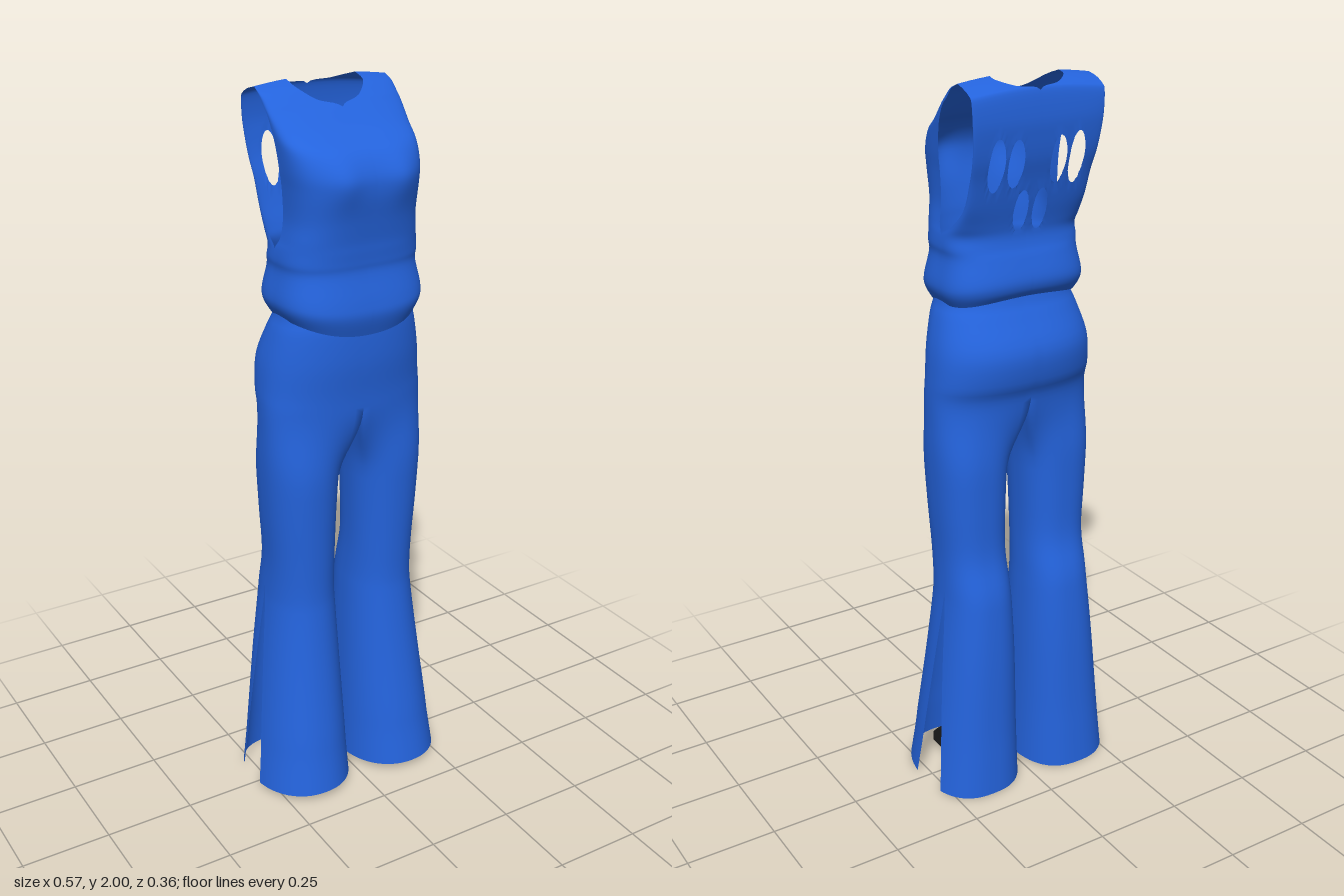
import * as THREE from 'three';
import { mergeVertices } from 'three/addons/utils/BufferGeometryUtils.js';

// Smooth interpolation through a list of equally long rows, t in 0..1
function sampleRows(rows, t) {
  const last = rows.length - 1;
  const i = Math.min(Math.floor(t * last), last - 1);
  const f = t * last - i;
  const at = (k) => rows[Math.max(0, Math.min(last, k))];
  return rows[i].map((_, c) => {
    const p0 = at(i - 1)[c], p1 = at(i)[c], p2 = at(i + 1)[c], p3 = at(i + 2)[c];
    return p1 + 0.5 * f * (p2 - p0 + f * (2 * p0 - 5 * p1 + 4 * p2 - p3 + f * (3 * (p1 - p2) + p3 - p0)));
  });
}

// Adds a grid and its mirror image to one pair of position and index lists
function addMirroredGrid(out, nu, nv, point, flip, keep) {
  const pts = [];
  for (let j = 0; j <= nv; j++) for (let i = 0; i <= nu; i++) pts.push(point(i / nu, j / nv));
  for (const side of [1, -1]) {
    const base = out.pos.length / 3;
    for (const p of pts) out.pos.push(side * p[0], p[1], p[2]);
    for (let j = 0; j < nv; j++) {
      for (let i = 0; i < nu; i++) {
        const a = j * (nu + 1) + i, b = a + 1, c = a + nu + 1, d = c + 1;
        if (!keep([pts[a], pts[b], pts[c], pts[d]])) continue;
        const quad = (side < 0) !== flip ? [a, c, b, b, c, d] : [a, b, c, b, d, c];
        out.idx.push(...quad.map((k) => k + base));
      }
    }
  }
}

function finish(out) {
  let g = new THREE.BufferGeometry();
  g.setAttribute('position', new THREE.Float32BufferAttribute(out.pos, 3));
  g.setIndex(out.idx);
  g = mergeVertices(g, 1e-4);
  g.computeVertexNormals();
  return g;
}

const spow = (v, e) => Math.sign(v) * Math.pow(Math.abs(v), e);
const smooth = THREE.MathUtils.smoothstep;

// Trousers: y, outer x, inner x, front z, back z
const LEG = [
  [0.0, 0.287, 0.008, 0.172, -0.177], [0.1, 0.275, 0.012, 0.157, -0.172],
  [0.2, 0.265, 0.015, 0.145, -0.167], [0.4, 0.243, 0.021, 0.117, -0.16],
  [0.55, 0.226, 0.028, 0.1, -0.15], [0.62, 0.221, 0.032, 0.096, -0.141],
  [0.72, 0.22, 0.035, 0.1, -0.118], [0.85, 0.228, 0.032, 0.107, -0.117],
  [1.0, 0.235, 0.024, 0.115, -0.12], [1.1, 0.235, 0.014, 0.119, -0.124],
  [1.17, 0.235, 0, 0.122, -0.131], [1.22, 0.233, 0, 0.126, -0.152],
  [1.3, 0.225, 0, 0.135, -0.16], [1.38, 0.205, 0, 0.136, -0.125],
  [1.42, 0.19, 0, 0.132, -0.106], [1.47, 0.18, 0, 0.125, -0.095],
];

function trousersPoint(u, v) {
  const [y, xo, xiRaw, zf, zb] = sampleRows(LEG, v);
  const xi = Math.max(0, xiRaw);
  const cx = (xo + xi) / 2, rx = (xo - xi) / 2, cz = (zf + zb) / 2, rz = (zf - zb) / 2;
  const ex = 0.92, eb = 0.8;
  // side slit opening downward from knee height
  const open = Math.max(0, 0.62 - y) / 0.62;
  const fade = 1 - smooth(y, 0.62, 0.9);
  const edge = (z) => {
    const s = (z - cz) / rz;
    return Math.asin(THREE.MathUtils.clamp(spow(s, 1 / (s < 0 ? eb : ex)), -1, 1)) * fade;
  };
  const t0 = edge(-0.04 + 0.063 * open), t1 = edge(-0.04 - 0.052 * open);
  let th = u * Math.PI * 2;
  if (u < 0.25) th += t0 * (1 - u * 4);
  if (u > 0.75) th += t1 * (u * 4 - 3);
  const s = Math.sin(th), c = Math.cos(th), e = s < 0 ? eb : ex;
  let x = cx + rx * spow(c, e), z = cz + rz * spow(s, e);
  // blend from a separate leg into one half of the hips
  const k = smooth(y, 0.95, 1.169);
  if (k > 0) {
    const seam = Math.PI * 0.8;
    const mirrored = th > Math.PI;
    const a = mirrored ? Math.PI * 2 - th : th;
    const phi = Math.min(1, a / seam) * Math.PI / 2;
    const bx = a > seam - 1e-6 ? 0 : xo * Math.pow(Math.cos(phi), 0.85);
    const bz = a > seam ? (Math.PI - a) / (Math.PI - seam) : Math.pow(Math.max(0, Math.sin(phi)), 0.85);
    x += (bx - x) * k;
    z += (cz + rz * bz * (mirrored ? -1 : 1) - z) * k;
  }
  return [x, y + (0.01 + 0.058 * z) * (1 - smooth(y, 0, 0.3)), z];
}

// Top, shared lower side edges: centre y, edge y, half width, inner x, centre z, edge z
const FRONT = [
  [1.38, 1.42, 0.185, 0, 0.148, 0], [1.43, 1.45, 0.201, 0, 0.163, 0],
  [1.47, 1.48, 0.203, 0, 0.16, 0], [1.54, 1.54, 0.191, 0, 0.145, 0],
  [1.57, 1.57, 0.193, 0, 0.146, 0], [1.6, 1.6, 0.19, 0, 0.149, 0],
  [1.63, 1.63, 0.183, 0, 0.152, 0.017], [1.68, 1.68, 0.176, 0, 0.161, 0.02],
  [1.75, 1.75, 0.178, 0, 0.174, 0.02], [1.8, 1.8, 0.183, 0, 0.17, 0.018],
  [1.85, 1.85, 0.187, 0, 0.137, 0.01], [1.885, 1.885, 0.19, 0, 0.075, 0],
  [1.935, 1.925, 0.192, 0, 0.016, -0.02], [1.955, 1.95, 0.192, 0.06, -0.008, -0.045],
  [1.985, 1.972, 0.192, 0.097, -0.045, -0.065], [2.0, 1.985, 0.19, 0.1, -0.09, -0.09],
];
const BACK = [
  [1.44, 1.42, 0.185, 0, -0.112, 0], [1.46, 1.45, 0.201, 0, -0.127, 0],
  [1.49, 1.48, 0.203, 0, -0.131, 0], [1.54, 1.54, 0.191, 0, -0.118, 0],
  [1.57, 1.57, 0.193, 0, -0.108, 0], [1.6, 1.6, 0.19, 0, -0.104, 0],
  [1.63, 1.63, 0.184, 0, -0.109, -0.045], [1.68, 1.68, 0.178, 0, -0.123, -0.093],
  [1.75, 1.75, 0.178, 0, -0.141, -0.122], [1.8, 1.8, 0.182, 0, -0.155, -0.142],
  [1.85, 1.85, 0.186, 0, -0.163, -0.154], [1.9, 1.9, 0.19, 0, -0.167, -0.159],
  [1.965, 1.95, 0.192, 0, -0.161, -0.157], [1.978, 1.965, 0.192, 0.06, -0.145, -0.145],
  [1.993, 1.978, 0.192, 0.097, -0.115, -0.118], [2.0, 1.985, 0.19, 0.1, -0.09, -0.09],
];
// Oval openings in the back: x, y, x radius, y radius
const HOLES = [[0.028, 1.665, 0.021, 0.055], [0.062, 1.79, 0.023, 0.062], [0.117, 1.79, 0.023, 0.068]];
const holeRadius = (h, x, y) => Math.hypot((x - h[0]) / h[2], (y - h[1]) / h[3]);

function topPoint(rows, u, v) {
  const [yM, yE, w, xiRaw, zM, zE] = sampleRows(rows, v);
  const xi = Math.max(0, xiRaw);
  const x = xi + (w - xi) * Math.sin(u * Math.PI / 2);
  const s = Math.min(1, x / w);
  const y = yM + (yE - yM) * s * s;
  return [x, y, zE + (zM - zE) * Math.cbrt(1 - s * s * s)];
}

function frontPoint(u, v) {
  const p = topPoint(FRONT, u, v);
  p[2] += 0.011 * Math.exp(-(((p[0] - 0.085) / 0.045) ** 2) - ((p[1] - 1.785) / 0.055) ** 2);
  return p;
}

// Vertices close to an opening are pulled onto its rim
function backPoint(u, v) {
  const p = topPoint(BACK, u, v);
  for (const h of HOLES) {
    const r = holeRadius(h, p[0], p[1]);
    if (r > 0.82 && r < 1.18) {
      p[0] = h[0] + (p[0] - h[0]) / r;
      p[1] = h[1] + (p[1] - h[1]) / r;
    }
  }
  return p;
}

export function createModel() {
  const model = new THREE.Group();
  const blueFabric = new THREE.MeshStandardMaterial({ color: 0x2463dc, side: THREE.DoubleSide });
  blueFabric.name = 'blueFabric';
  const blackLeather = new THREE.MeshStandardMaterial({ color: 0x1c1c1c });
  blackLeather.name = 'blackLeather';
  const add = (geometry, material, name) => {
    const mesh = new THREE.Mesh(geometry, material);
    mesh.name = name;
    model.add(mesh);
    return mesh;
  };

  // flared trousers, without the inner wall between the hips
  const legs = { pos: [], idx: [] };
  addMirroredGrid(legs, 60, 60, trousersPoint, true, (q) => q.some((p) => p[0] > 1e-4));
  add(finish(legs), blueFabric, 'trousers');

  // sleeveless top with open back
  const top = { pos: [], idx: [] };
  addMirroredGrid(top, 48, 75, frontPoint, false, () => true);
  addMirroredGrid(top, 48, 75, backPoint, true,
    (q) => !HOLES.some((h) => q.every((p) => holeRadius(h, p[0], p[1]) < 1.001)));
  add(finish(top), blueFabric, 'sleevelessTop');

  // heeled ankle boots, cut from a side profile
  const profile = new THREE.Shape([
    [-0.09, 0.225], [-0.035, 0.225], [-0.02, 0.17], [0.02, 0.12], [0.09, 0.075], [0.115, 0.05],
    [0.115, 0.025], [0.01, 0.025], [-0.03, 0.06], [-0.05, 0.065], [-0.055, 0.025], [-0.09, 0.025], [-0.095, 0.09],
  ].map(([z, y]) => new THREE.Vector2(z, y)));
  const boot = new THREE.ExtrudeGeometry(profile, {
    depth: 0.05, bevelThickness: 0.015, bevelSize: 0.006, bevelSegments: 2,
  });
  boot.translate(0, 0, -0.025);
  boot.rotateY(-Math.PI / 2);
  for (const side of [1, -1]) {
    add(boot, blackLeather, side > 0 ? 'leftBoot' : 'rightBoot').position.x = side * 0.14;
  }
  return model;
}
